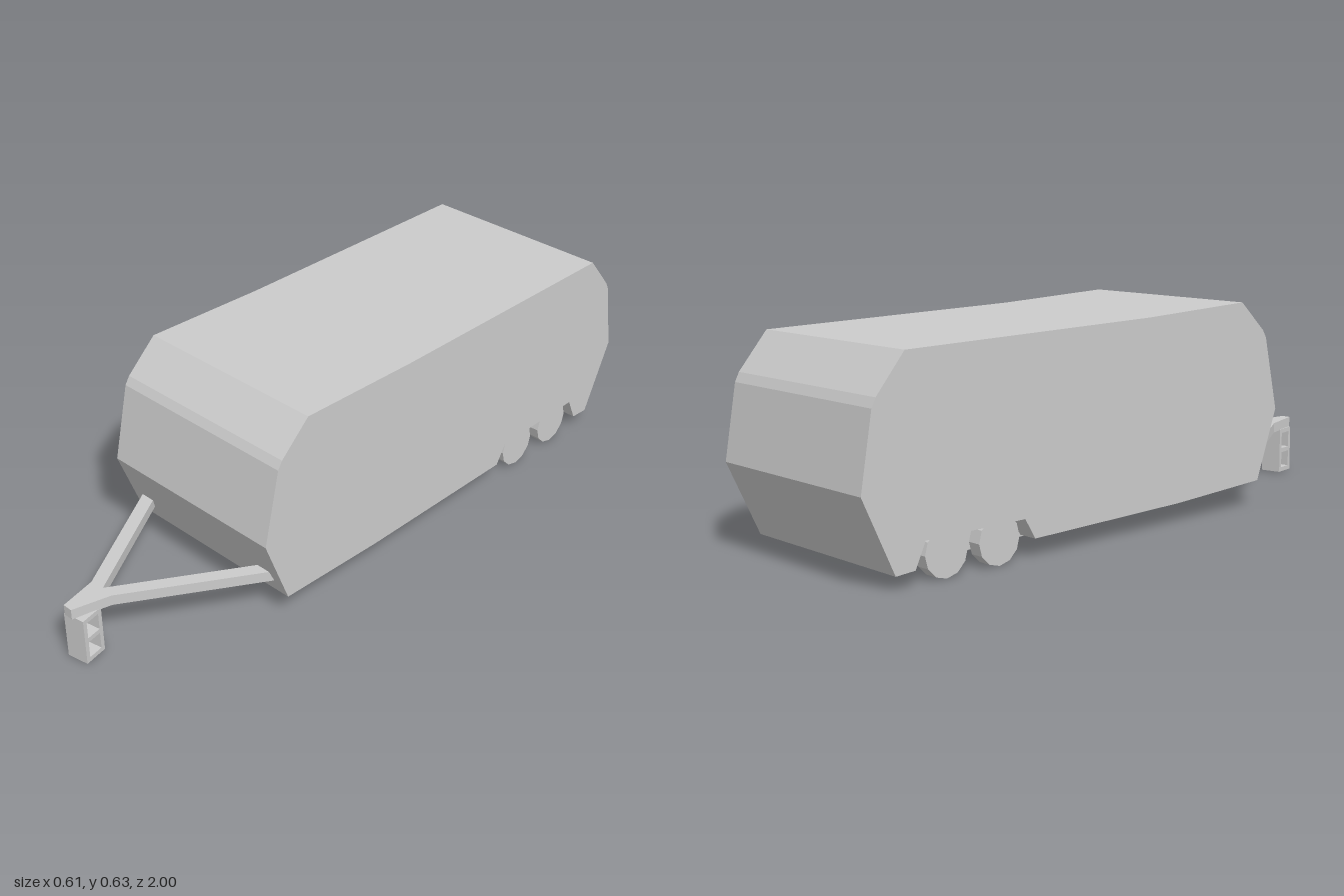
import * as THREE from 'three';

const material = new THREE.MeshStandardMaterial({ color: 0xcccccc, flatShading: true });

function addMesh(parent, geometry, name) {
  const mesh = new THREE.Mesh(geometry, material);
  mesh.name = name;
  parent.add(mesh);
  return mesh;
}

const toShape = (points) => new THREE.Shape(points.map(([a, b]) => new THREE.Vector2(a, b)));

// Extrudes a (z, y) side profile across x, centred on the given x.
function sideExtrude(shape, width, x) {
  const geometry = new THREE.ExtrudeGeometry(shape, { depth: width, bevelEnabled: false });
  geometry.rotateY(-Math.PI / 2);
  geometry.translate(x + width / 2, 0, 0);
  return geometry;
}

export function createModel() {
  const group = new THREE.Group();
  group.name = 'boxTrailer';

  // Body: a full-length core plus side slabs with wheel arch notches
  const halfWidth = 0.303, archInner = 0.243;
  const upper = [
    [-0.9, 0.04], [-1, 0.255], [-0.963, 0.467], [-0.95, 0.493], [-0.86, 0.6], [0, 0.615],
    [0.4, 0.631], [0.498, 0.541], [0.513, 0.517], [0.565, 0.293], [0.485, 0.08], [0.13, 0.064],
  ];
  const arch = [[-0.435, 0.056], [-0.47, 0.115], [-0.805, 0.115], [-0.838, 0.044]];
  addMesh(group, sideExtrude(toShape(upper), archInner * 2, 0), 'bodyCore');
  for (const side of [1, -1]) {
    const label = side > 0 ? 'left' : 'right';
    const slabWidth = halfWidth - archInner;
    const x = side * (halfWidth + archInner) / 2;
    addMesh(group, sideExtrude(toShape([...upper, ...arch]), slabWidth, x), label + 'BodySide');

    // Tandem wheels
    [-0.55, -0.728].forEach((z, i) => {
      const wheel = new THREE.CylinderGeometry(0.07, 0.07, 0.041, 12);
      wheel.rotateZ(Math.PI / 2);
      const mesh = addMesh(group, wheel, label + (i ? 'RearWheel' : 'FrontWheel'));
      mesh.position.set(side * 0.27, 0.07, z);
    });
  }

  // V-shaped drawbar, rising gently towards the hitch
  const outer = [[0.015, 1], [0.042, 0.885], [0.277, 0.49]];
  const inner = [[0.232, 0.49], [0, 0.88]];
  const half = [...outer, ...inner];
  const mirrored = half.slice(0, -1).reverse().map(([x, z]) => [-x, z]);
  const drawbar = new THREE.ExtrudeGeometry(toShape([...half, ...mirrored]), { depth: 0.032, bevelEnabled: false });
  drawbar.rotateX(Math.PI / 2);
  const p = drawbar.attributes.position;
  for (let i = 0; i < p.count; i++) p.setY(i, p.getY(i) + 0.18 - (1 - p.getZ(i)) * 0.038);
  addMesh(group, drawbar, 'drawbar');

  // Hollow building block propping up the hitch, turned slightly
  const w = 0.036, h = 0.146;
  const block = toShape([[-w, 0], [w, 0], [w, h], [-w, h]]);
  for (const [low, high] of [[0.014, 0.066], [0.08, 0.132]]) {
    block.holes.push(new THREE.Path(
      [[-0.023, low], [-0.023, high], [0.023, high], [0.023, low]].map(([a, b]) => new THREE.Vector2(a, b))));
  }
  const prop = addMesh(group, sideExtrude(block, 0.066, 0), 'supportBlock');
  prop.position.set(0.005, 0.002, 0.957);
  prop.rotation.y = 0.18;

  return group;
}
